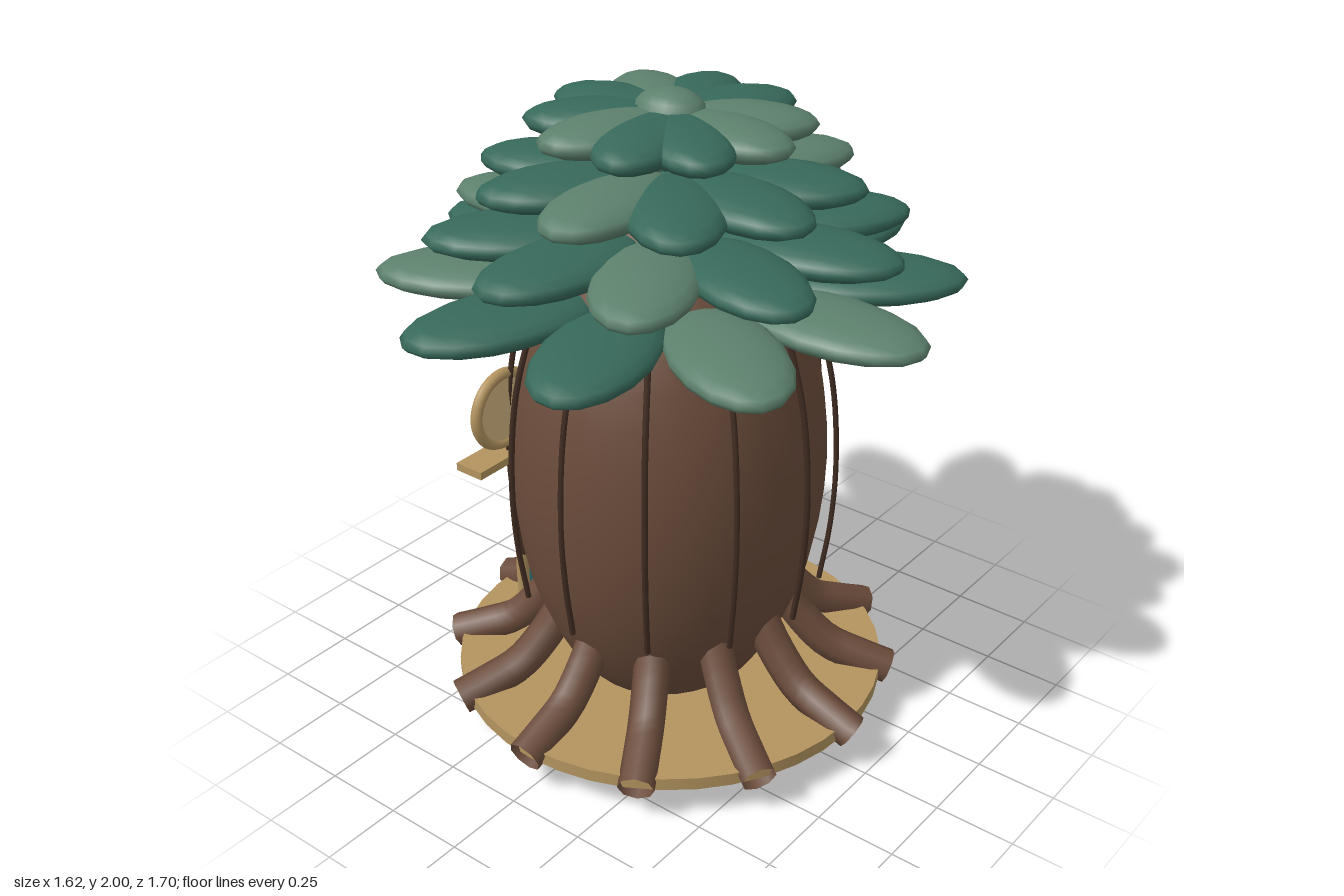
import * as THREE from 'three';

const mat = (color, double) => new THREE.MeshStandardMaterial({ color, side: double ? THREE.DoubleSide : THREE.FrontSide });
const bark = mat(0x6b4c3b), rootBark = mat(0x6b4c3b, true), groove = mat(0x402c22);
const leafDark = mat(0x37695a), leafLight = mat(0x5c806c);
const wood = mat(0xb3945f), pane = mat(0xd2b483), teal = mat(0x1f5f62), tealDark = mat(0x153f42);

const v = (x, y, z) => new THREE.Vector3(x, y, z);

function add(parent, name, geometry, material, x = 0, y = 0, z = 0) {
  const mesh = new THREE.Mesh(geometry, material);
  mesh.name = name;
  mesh.position.set(x, y, z);
  parent.add(mesh);
  return mesh;
}

const tube = (points, radius, steps, sides) =>
  new THREE.TubeGeometry(new THREE.CatmullRomCurve3(points), steps, radius, sides, false);

export function createModel() {
  const model = new THREE.Group();
  model.name = 'treeHouse';

  // Barrel-shaped trunk and round ground plate
  add(model, 'trunk', new THREE.SphereGeometry(1, 32, 24), bark, 0, 0.85, 0).scale.set(0.5, 0.845, 0.46);
  add(model, 'groundPlate', new THREE.CylinderGeometry(0.67, 0.67, 0.04, 40), wood, 0, 0.135, 0);

  // Bark ridges and spreading roots, twelve of each
  const ridge = tube([v(0, 0.45, 0.465), v(0, 0.65, 0.492), v(0, 0.87, 0.5), v(0, 1.15, 0.475), v(0, 1.44, 0.395)], 0.009, 20, 6);
  const root = tube([v(0, 0.4, 0.35), v(0, 0.31, 0.41), v(0, 0.215, 0.5), v(0, 0.17, 0.6), v(0, 0.135, 0.695)], 0.055, 12, 8);
  for (let i = 0; i < 12; i++) {
    const a = i * Math.PI / 6;
    add(model, 'barkRidge', ridge, groove).rotation.y = a;
    add(model, 'root', root, rootBark).rotation.y = a;
  }

  // Four tiers of leaves, each turned a little from the one below
  const leafShape = new THREE.SphereGeometry(1, 16, 10);
  const tiers = [
    { y: 1.445, out: 0.55, length: 0.30, width: 0.16 },
    { y: 1.60, out: 0.42, length: 0.28, width: 0.15 },
    { y: 1.755, out: 0.30, length: 0.26, width: 0.14 },
    { y: 1.905, out: 0.18, length: 0.23, width: 0.125 },
  ];
  tiers.forEach((t, k) => {
    const tier = new THREE.Group();
    tier.name = 'leafTier';
    for (let i = 0; i < 10; i++) {
      const a = i * Math.PI / 5 + k * 0.2;
      const leaf = add(tier, 'leaf', leafShape, (i + k) % 3 ? leafDark : leafLight,
        Math.sin(a) * t.out, t.y, Math.cos(a) * t.out);
      leaf.scale.set(t.width, 0.055, t.length);
      leaf.rotation.y = a;
    }
    model.add(tier);
  });
  add(model, 'topLeaf', leafShape, leafLight, 0, 1.935, 0).scale.set(0.09, 0.065, 0.11);

  // Door with planks, knob and arched frame at the back
  const door = new THREE.Group();
  door.name = 'door';
  add(door, 'doorPanel', new THREE.BoxGeometry(0.3, 0.49, 0.03), teal, 0, 0.395, -0.45);
  for (let i = 0; i < 4; i++) {
    add(door, 'doorSlat', new THREE.BoxGeometry(0.012, 0.36, 0.012), tealDark, -0.09 + i * 0.06, 0.42, -0.466);
  }
  add(door, 'doorKnob', new THREE.SphereGeometry(0.014, 12, 8), wood, 0.115, 0.36, -0.485);
  add(door, 'doorFrame', tube([
    v(-0.17, 0.15, -0.465), v(-0.175, 0.35, -0.47), v(-0.165, 0.55, -0.462), v(-0.12, 0.66, -0.45), v(0, 0.705, -0.445),
    v(0.12, 0.66, -0.45), v(0.165, 0.55, -0.462), v(0.175, 0.35, -0.47), v(0.17, 0.15, -0.465),
  ], 0.02, 48, 8), wood);
  model.add(door);

  // Pair of round windows with crossbars and sills
  for (const side of [-1, 1]) {
    const win = new THREE.Group();
    win.name = side > 0 ? 'leftWindow' : 'rightWindow';
    win.position.set(side * 0.27, 0.98, -0.43);
    add(win, 'windowPane', new THREE.CylinderGeometry(0.115, 0.115, 0.02, 32), pane).rotation.x = Math.PI / 2;
    add(win, 'windowFrame', new THREE.TorusGeometry(0.115, 0.018, 8, 32), wood);
    add(win, 'windowBar', new THREE.BoxGeometry(0.23, 0.014, 0.02), wood, 0, 0, -0.012);
    add(win, 'windowBar', new THREE.BoxGeometry(0.014, 0.23, 0.02), wood, 0, 0, -0.012);
    add(win, 'windowSill', new THREE.BoxGeometry(0.28, 0.025, 0.1), wood, 0, -0.165, -0.02);
    model.add(win);
  }

  // Blank hanging board above the door
  const board = new THREE.Group();
  board.name = 'hangingBoard';
  add(board, 'boardPlank', new THREE.BoxGeometry(0.28, 0.08, 0.028), wood, 0, 0.785, -0.54);
  for (const side of [-1, 1]) {
    add(board, 'boardCord', tube([v(side * 0.09, 0.88, -0.47), v(side * 0.1, 0.85, -0.508), v(side * 0.11, 0.82, -0.54)], 0.004, 4, 6), groove);
  }
  model.add(board);

  return model;
}
